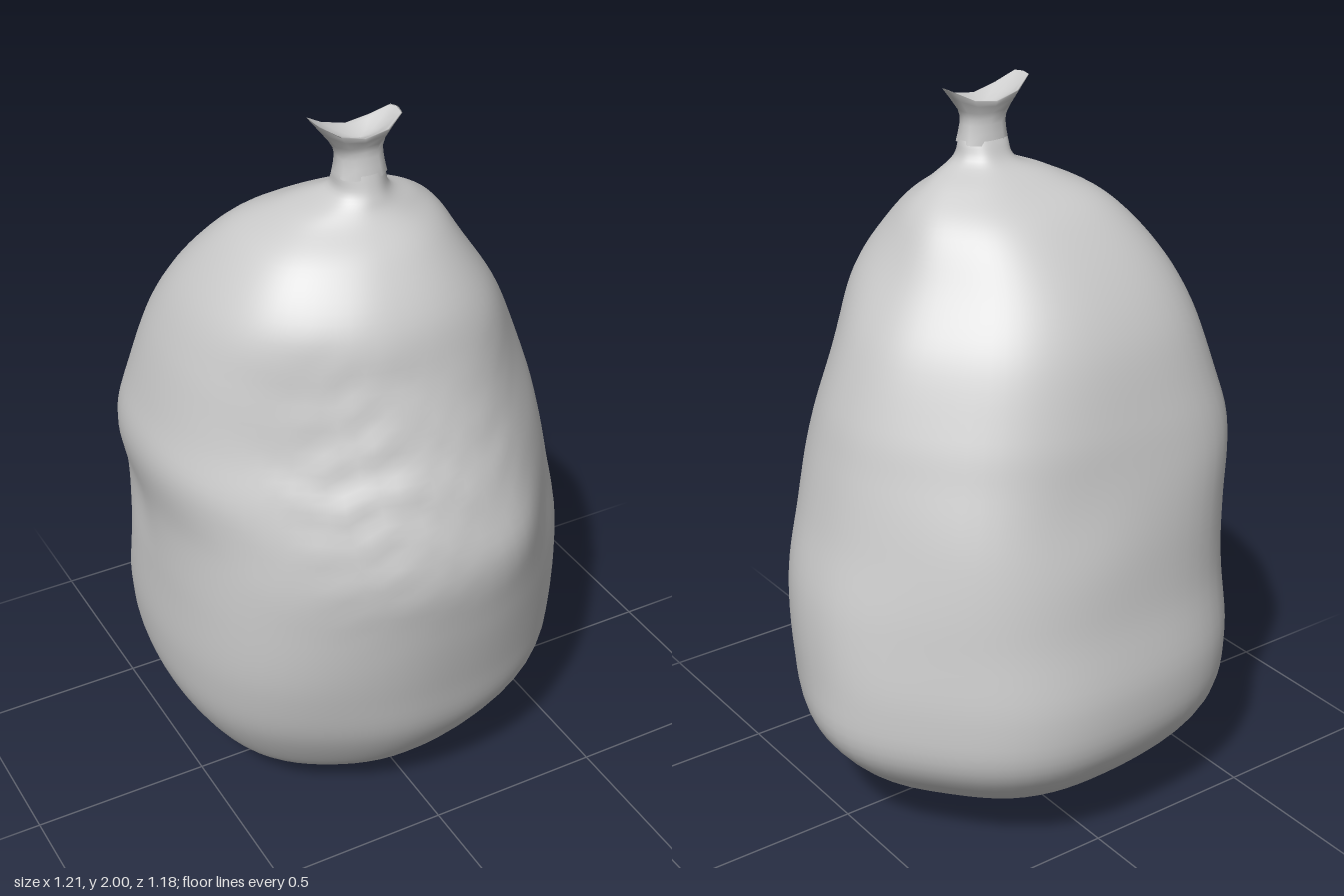
import * as THREE from 'three';

// Sack extents by height: [y, right x, left x, front z, back z]
const BODY = [
  [0.0, -0.09, -0.07, 0.13, 0.11], [0.005, -0.17, 0.0, 0.185, 0.03], [0.02, -0.25, 0.09, 0.212, -0.07],
  [0.06, -0.34, 0.23, 0.262, -0.24], [0.14, -0.45, 0.42, 0.36, -0.42], [0.3, -0.545, 0.575, 0.462, -0.565],
  [0.48, -0.578, 0.603, 0.51, -0.592], [0.7, -0.577, 0.59, 0.56, -0.55], [0.9, -0.578, 0.54, 0.59, -0.52],
  [1.08, -0.602, 0.5, 0.55, -0.485], [1.22, -0.575, 0.465, 0.495, -0.455], [1.4, -0.525, 0.395, 0.43, -0.4],
  [1.55, -0.455, 0.3, 0.385, -0.31], [1.68, -0.345, 0.225, 0.29, -0.19], [1.75, -0.22, 0.14, 0.2, -0.07],
  [1.795, -0.115, 0.05, 0.17, 0.01], [1.85, -0.1, 0.03, 0.15, 0.045],
];
// Gathered neck, flared lip, then the shallow inside of the lip
const NECK = [
  [1.84, -0.1, 0.03, 0.15, 0.045], [1.89, -0.095, 0.022, 0.138, 0.055], [1.92, -0.11, 0.028, 0.138, 0.055],
  [1.95, -0.168, 0.072, 0.153, 0.045], [1.947, -0.15, 0.055, 0.14, 0.056],
  [1.935, -0.08, 0.01, 0.115, 0.08], [1.93, -0.036, -0.034, 0.099, 0.097],
];
// Soft dents and bulges: [x, y, z, radius, outward push]
const DENTS = [
  [0.36, 0.85, 0.3, 0.16, -0.02], [0.2, 1.62, 0.1, 0.1, -0.015], [0.4, 0.4, 0.33, 0.22, 0.025],
  [0.57, 0.38, -0.08, 0.1, 0.01], [0.17, 0.92, 0.48, 0.1, 0.015], [-0.57, 0.85, -0.2, 0.12, -0.015],
  [0.1, 1.0, -0.5, 0.15, -0.015], [-0.42, 1.15, 0.33, 0.28, -0.05], [-0.4, 0.5, 0.36, 0.24, 0.02],
  [0.2, 1.5, 0.26, 0.18, 0.035], [0.35, 0.95, -0.33, 0.28, 0.035], [-0.45, 1.0, -0.4, 0.28, 0.025],
];

// Lofts rounded, unequal-quadrant sections through the rows
function loft(rows, perRow, sides, square, bend) {
  const low = new THREE.CatmullRomCurve3(rows.map(r => new THREE.Vector3(r[1], r[0], r[4])), false, 'catmullrom', 0.5);
  const high = new THREE.CatmullRomCurve3(rows.map(r => new THREE.Vector3(r[2], r[0], r[3])), false, 'catmullrom', 0.5);
  const steps = (rows.length - 1) * perRow, pos = [], index = [];
  for (let i = 0; i <= steps; i++) {
    const a = low.getPoint(i / steps), b = high.getPoint(i / steps);
    const cx = (a.x + b.x) / 2, cz = (a.z + b.z) / 2 - 0.03 * (b.z - a.z);
    for (let j = 0; j < sides; j++) {
      const t = j / sides * Math.PI * 2, c = Math.cos(t), s = Math.sin(t);
      // full back-right corner, flatter front-left and back-left
      const n = square + 0.4 * c * s - 2 * Math.abs(c * s) * (0.25 * s + 0.42 * c);
      const k = Math.pow(Math.pow(Math.abs(c), n) + Math.pow(Math.abs(s), n), -1 / n);
      const p = new THREE.Vector3(
        cx + c * k * (c > 0 ? b.x - cx : cx - a.x), a.y,
        cz + s * k * (s > 0 ? b.z - cz : cz - a.z));
      bend(p, c, s);
      pos.push(p.x, p.y, p.z);
      if (i < steps) {
        const u = i * sides + j, v = i * sides + (j + 1) % sides;
        index.push(u, u + sides, v, v, u + sides, v + sides);
      }
    }
  }
  const g = new THREE.BufferGeometry();
  g.setAttribute('position', new THREE.Float32BufferAttribute(pos, 3));
  g.setIndex(index);
  g.computeVertexNormals();
  return g;
}

// Dents plus small cloth wrinkles on the upper front
function crumple(p, c, s) {
  let d = 0;
  for (const [x, y, z, r, push] of DENTS) {
    const q = ((p.x - x) ** 2 + (p.y - y) ** 2 + (p.z - z) ** 2) / (r * r);
    d += push * Math.exp(-q);
  }
  const patch = Math.exp(-(((p.x + 0.2) / 0.28) ** 2) - ((p.y - 1.15) / 0.25) ** 2) * Math.max(0, s);
  d += 0.007 * patch * Math.sin(p.y * 48 + 4 * Math.sin(p.x * 13)) * Math.sin(p.x * 21 + p.y * 9);
  p.x += c * d;
  p.z += s * d;
}

// Lifts the two ends of the lip into points
function flare(p) {
  const up = THREE.MathUtils.smoothstep(p.y, 1.9, 1.945);
  const e = (p.x + 0.04) / 0.12;
  p.y += up * 0.045 * e * e;
}

export function createModel() {
  const model = new THREE.Group();
  model.name = 'tiedSack';
  const material = new THREE.MeshStandardMaterial({ color: 0xcccccc, side: THREE.DoubleSide });
  const add = (name, geometry) => {
    const mesh = new THREE.Mesh(geometry, material);
    mesh.name = name;
    model.add(mesh);
  };
  add('sackBody', loft(BODY, 6, 72, 2.12, crumple));
  add('tiedNeck', loft(NECK, 2, 12, 3.6, flare));

  // closing disc under the sack
  const base = new THREE.CircleGeometry(0.012, 16).rotateX(Math.PI / 2);
  base.translate(-0.08, 0.0, 0.12);
  add('sackBase', base);
  return model;
}
